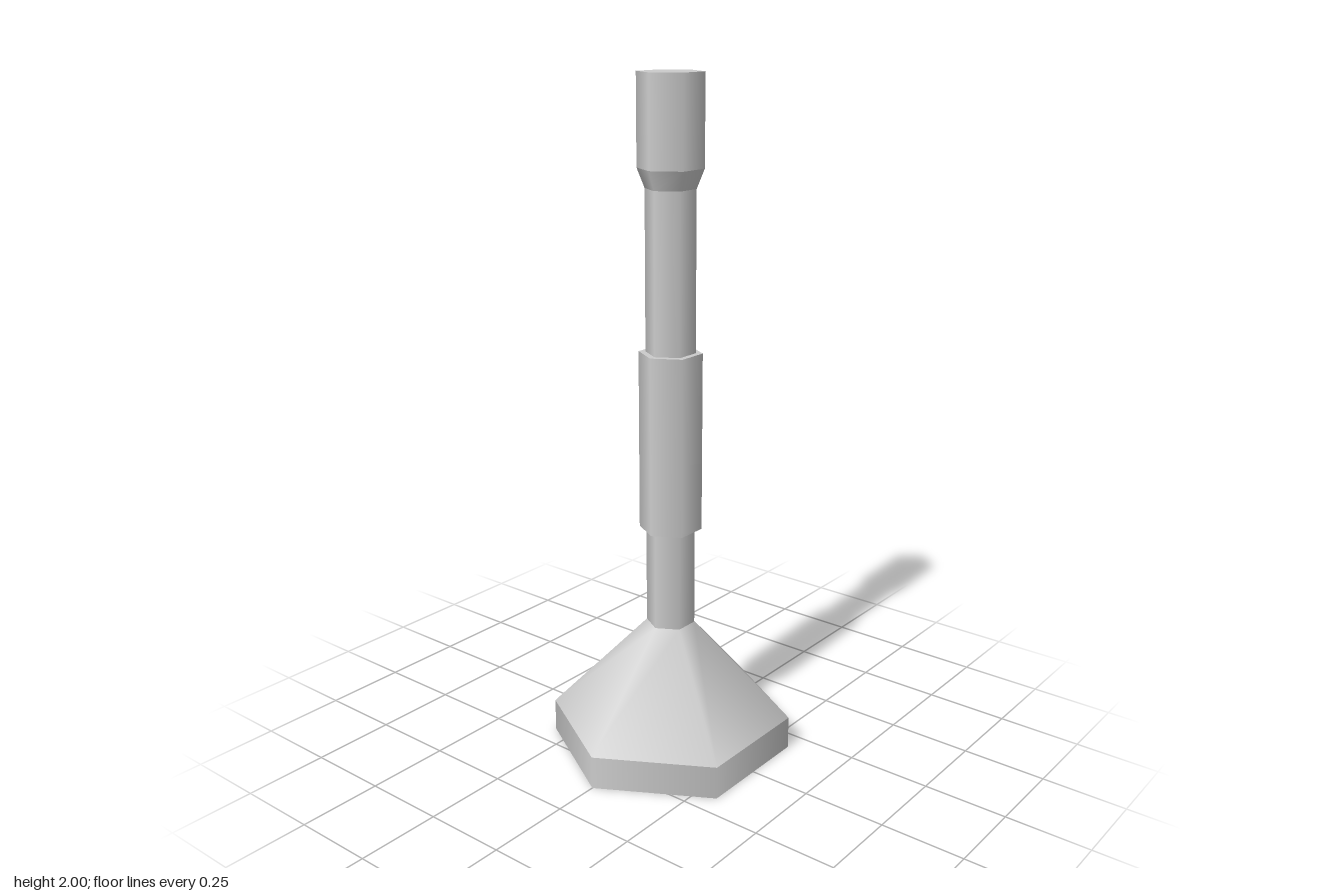
import * as THREE from 'three';

export function createModel() {
  const group = new THREE.Group();
  const material = new THREE.MeshStandardMaterial({ color: 0xcccccc });

  // Six-sided section between two heights, corners facing front and back
  function section(name, y0, y1, r0, r1 = r0, open = false) {
    const geometry = new THREE.CylinderGeometry(r1, r0, y1 - y0, 6, 1, open);
    const mesh = new THREE.Mesh(geometry, material);
    mesh.name = name;
    mesh.position.y = (y0 + y1) / 2;
    group.add(mesh);
  }

  const rod = 0.072;
  const foot = 0.363;

  // Foot: low plinth with a sloped cone running up to the rod
  section('basePlinth', 0, 0.1, foot);
  section('baseCone', 0.1, 0.4, foot, rod, true);

  // Stem with a thicker sleeve around its middle
  section('lowerRod', 0.4, 0.7, rod, rod, true);
  section('gripSleeve', 0.7, 1.23, 0.092);
  section('upperRod', 1.23, 1.69, rod, rod, true);

  // Head: flared collar and straight cap
  section('headFlare', 1.69, 1.745, rod, 0.094, true);
  section('headCap', 1.745, 2, 0.094);

  return group;
}
